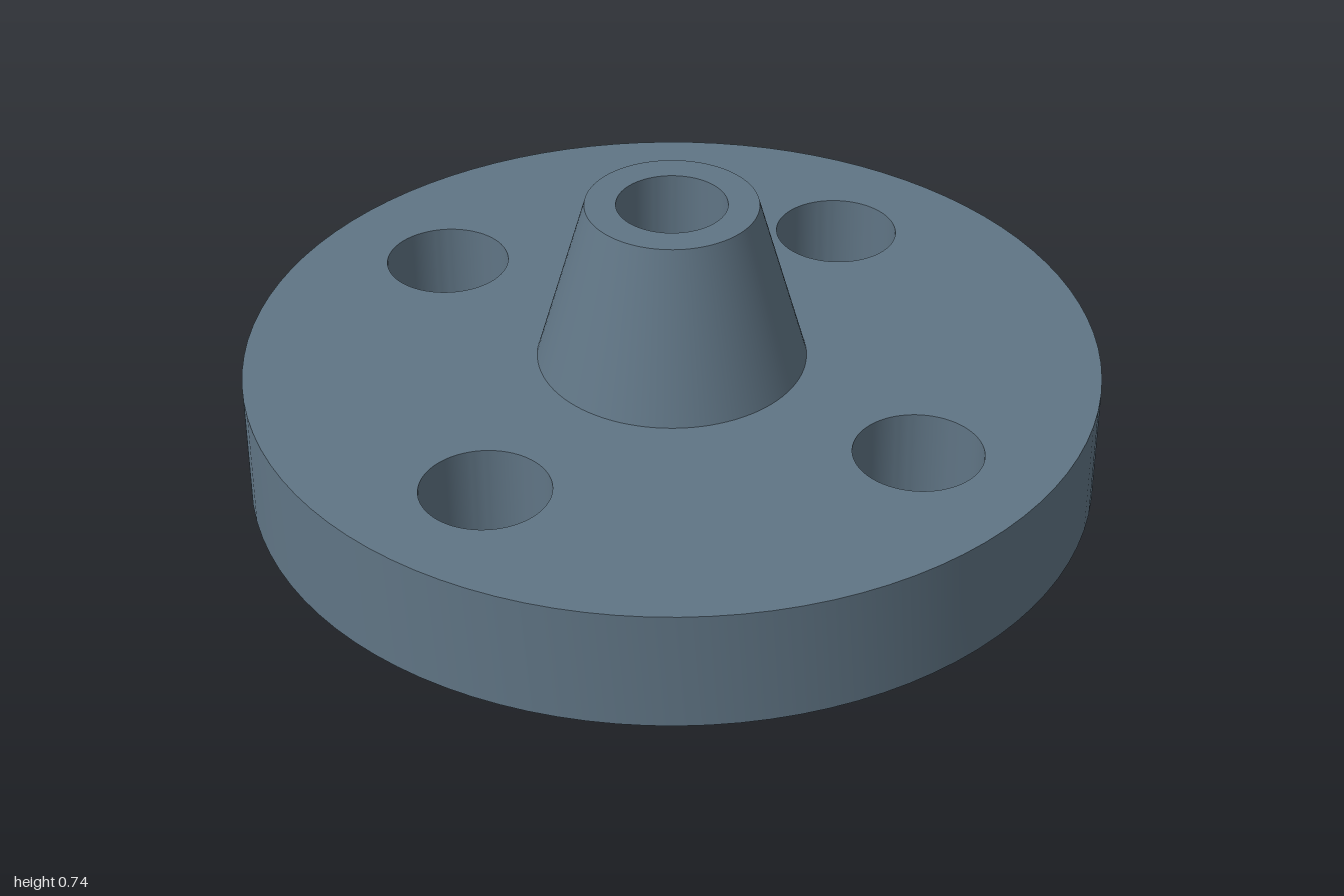
import * as THREE from 'three';
import { toCreasedNormals } from 'three/addons/utils/BufferGeometryUtils.js';

const SEGMENTS = 96;
const OUTER = 1, BORE = 0.128, FACE = 0.493, NECK_BASE = 0.315, NECK_TOP = 0.2;
const PLATE_LOW = 0.045, PLATE_HIGH = 0.337, HEIGHT = 0.738;
const BOLT = 0.148, BOLT_CIRCLE = 0.685;

const boltPositions = [0, 1, 2, 3].map((i) => {
  const a = (i * Math.PI) / 2;
  return [BOLT_CIRCLE * Math.cos(a), BOLT_CIRCLE * Math.sin(a)];
});

const circle = (Type, x, y, r) => new Type().absarc(x, y, r, 0, Math.PI * 2, false);

// Turned surface; a profile running upwards faces outwards
function turned(points) {
  const profile = points.map(([r, y]) => new THREE.Vector2(r, y));
  return toCreasedNormals(new THREE.LatheGeometry(profile, SEGMENTS), 0.5);
}

// Flat side of the plate with a central opening and four bolt openings
function plateSide(opening, y, facing) {
  const shape = circle(THREE.Shape, 0, 0, OUTER);
  shape.holes.push(circle(THREE.Path, 0, 0, opening));
  for (const [x, z] of boltPositions) shape.holes.push(circle(THREE.Path, x, z, BOLT));
  return new THREE.ShapeGeometry(shape, SEGMENTS / 2)
    .rotateX((-facing * Math.PI) / 2)
    .translate(0, y, 0);
}

export function createModel() {
  const model = new THREE.Group();
  model.name = 'weldNeckFlange';
  const material = new THREE.MeshStandardMaterial({ color: 0x607585 });

  const add = (name, geometry, parent = model) => {
    const mesh = new THREE.Mesh(geometry, material);
    mesh.name = name;
    parent.add(mesh);
    return mesh;
  };

  // Plate: rim, two flat sides and bolt hole walls
  const plate = new THREE.Group();
  plate.name = 'plate';
  model.add(plate);
  add('plateRim', turned([[OUTER, PLATE_LOW], [OUTER, PLATE_HIGH]]), plate);
  add('plateTop', plateSide(NECK_BASE, PLATE_HIGH, 1), plate);
  add('plateUnderside', plateSide(FACE, PLATE_LOW, -1), plate);
  const boltWall = turned([[BOLT, PLATE_HIGH], [BOLT, PLATE_LOW]]);
  for (const [x, z] of boltPositions) add('boltHole', boltWall, plate).position.set(x, 0, z);

  // Tapered neck with its flat end
  add('neck', turned([[NECK_BASE, PLATE_HIGH], [NECK_TOP, HEIGHT], [BORE, HEIGHT]]));

  // Straight bore through the whole height
  add('bore', turned([[BORE, HEIGHT], [BORE, 0]]));

  // Raised sealing face underneath
  add('raisedFace', turned([[BORE, 0], [FACE, 0], [FACE, PLATE_LOW]]));

  return model;
}
